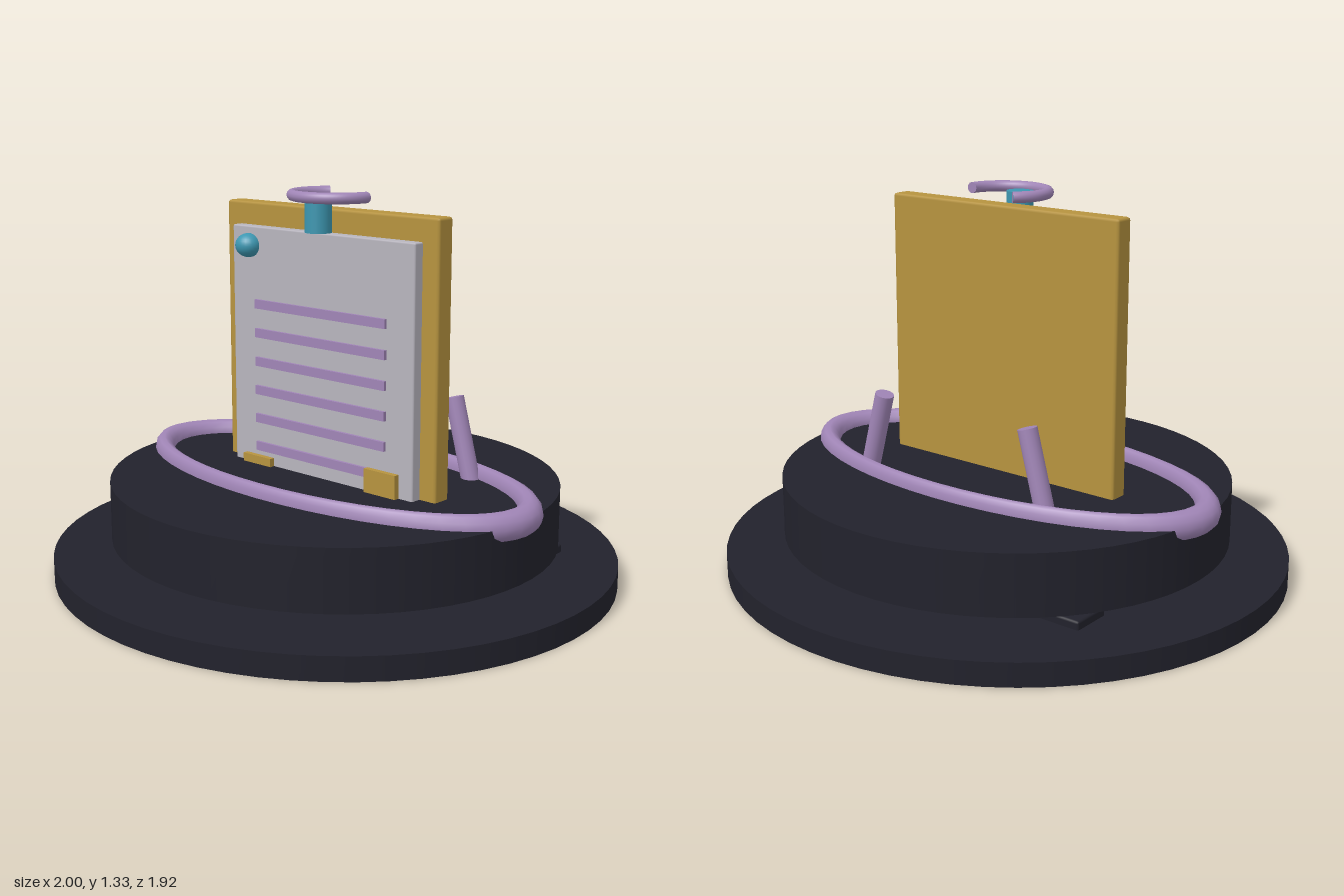
import * as THREE from 'three';
import { RoundedBoxGeometry } from 'three/addons/geometries/RoundedBoxGeometry.js';

function material(name, color) {
  const m = new THREE.MeshStandardMaterial({ color });
  m.name = name;
  return m;
}

export function createModel() {
  const dark = material('charcoal', 0x22222c);
  const ochre = material('ochre', 0xb6933f);
  const paper = material('pale grey', 0xb8b5be);
  const purple = material('mauve', 0xa085b6);
  const teal = material('teal', 0x3d97b1);
  const model = new THREE.Group();
  model.name = 'boardOnStand';

  function add(name, geometry, mat, x = 0, y = 0, z = 0) {
    const mesh = new THREE.Mesh(geometry, mat);
    mesh.name = name;
    mesh.position.set(x, y, z);
    model.add(mesh);
    return mesh;
  }
  // Box given by its lower and upper limits, with slightly eased edges
  function slab(name, mat, [x0, x1], [y0, y1], [z0, z1], bevel = 0) {
    const size = [x1 - x0, y1 - y0, z1 - z0];
    const geometry = bevel
      ? new RoundedBoxGeometry(...size, 1, bevel)
      : new THREE.BoxGeometry(...size);
    return add(name, geometry, mat, (x0 + x1) / 2, (y0 + y1) / 2, (z0 + z1) / 2);
  }
  // Torus lying flat, squashed along z
  function flatRing(name, radius, tube, arc, squash, y) {
    const geometry = new THREE.TorusGeometry(radius, tube, 12, 48, arc);
    geometry.rotateX(Math.PI / 2).scale(1, 1, squash);
    return add(name, geometry, purple, 0, y, 0);
  }

  // Slightly oval base plate and the drum floating above it
  add('basePlate', new THREE.CylinderGeometry(1, 1, 0.08, 64).scale(1, 1, 0.96), dark, 0, 0.04, 0);
  add('drum', new THREE.CylinderGeometry(0.795, 0.795, 0.21, 64).scale(1, 1, 0.957), dark, 0, 0.23, 0);

  // Long oval hoop around the board
  flatRing('hoop', 0.79, 0.048, Math.PI * 2, 0.46, 0.333);

  // Board with the sheet on its front
  slab('board', ochre, [-0.478, 0.478], [0.3, 1.265], [-0.036, 0.036], 0.01);
  slab('sheet', paper, [-0.413, 0.413], [0.32, 1.185], [0.03, 0.074], 0.006);
  for (let i = 0; i < 6; i++) {
    const y = 0.4 + i * 0.1028;
    slab('ruledLine', purple, [-0.298, 0.298], [y - 0.016, y + 0.016], [0.068, 0.085]);
  }
  slab('leftTab', ochre, [0.22, 0.355], [0.3, 0.417], [0.07, 0.094]);
  slab('rightTab', ochre, [-0.355, -0.22], [0.3, 0.365], [0.07, 0.094]);

  // Pin in the sheet corner
  add('pin', new THREE.SphereGeometry(1, 24, 16).scale(0.048, 0.042, 0.045), teal, -0.33, 1.118, 0.08);

  // Clip post with an open ring on top
  add('clipPost', new THREE.CylinderGeometry(0.046, 0.046, 0.115, 24), teal, 0, 1.2445, 0.076);
  const clipRing = flatRing('clipRing', 0.146, 0.019, Math.PI * 1.25, 0.92, 1.307);
  clipRing.material = purple;
  // End caps of the open ring
  for (const [angle, turn] of [[0, Math.PI], [Math.PI * 1.25, -Math.PI * 1.25]]) {
    const cap = add('clipRingCap', new THREE.CircleGeometry(0.019, 12), purple,
      0.146 * Math.cos(angle), 1.307, 0.146 * 0.92 * Math.sin(angle));
    cap.rotation.y = turn;
  }

  // Leaning props behind the board, and their foot pads
  for (const s of [-1, 1]) {
    const bottom = new THREE.Vector3(s * 0.45, 0.098, -0.28);
    const top = new THREE.Vector3(s * 0.31, 0.612, -0.28);
    const axis = top.clone().sub(bottom);
    const prop = add('backProp', new THREE.CylinderGeometry(0.033, 0.033, axis.length(), 16), purple);
    prop.position.copy(bottom).lerp(top, 0.5);
    prop.quaternion.setFromUnitVectors(new THREE.Vector3(0, 1, 0), axis.normalize());
    slab('footPad', dark, [s * 0.5 - 0.15, s * 0.5 + 0.15], [0.07, 0.108], [-0.465, -0.32], 0.008);
  }

  return model;
}
